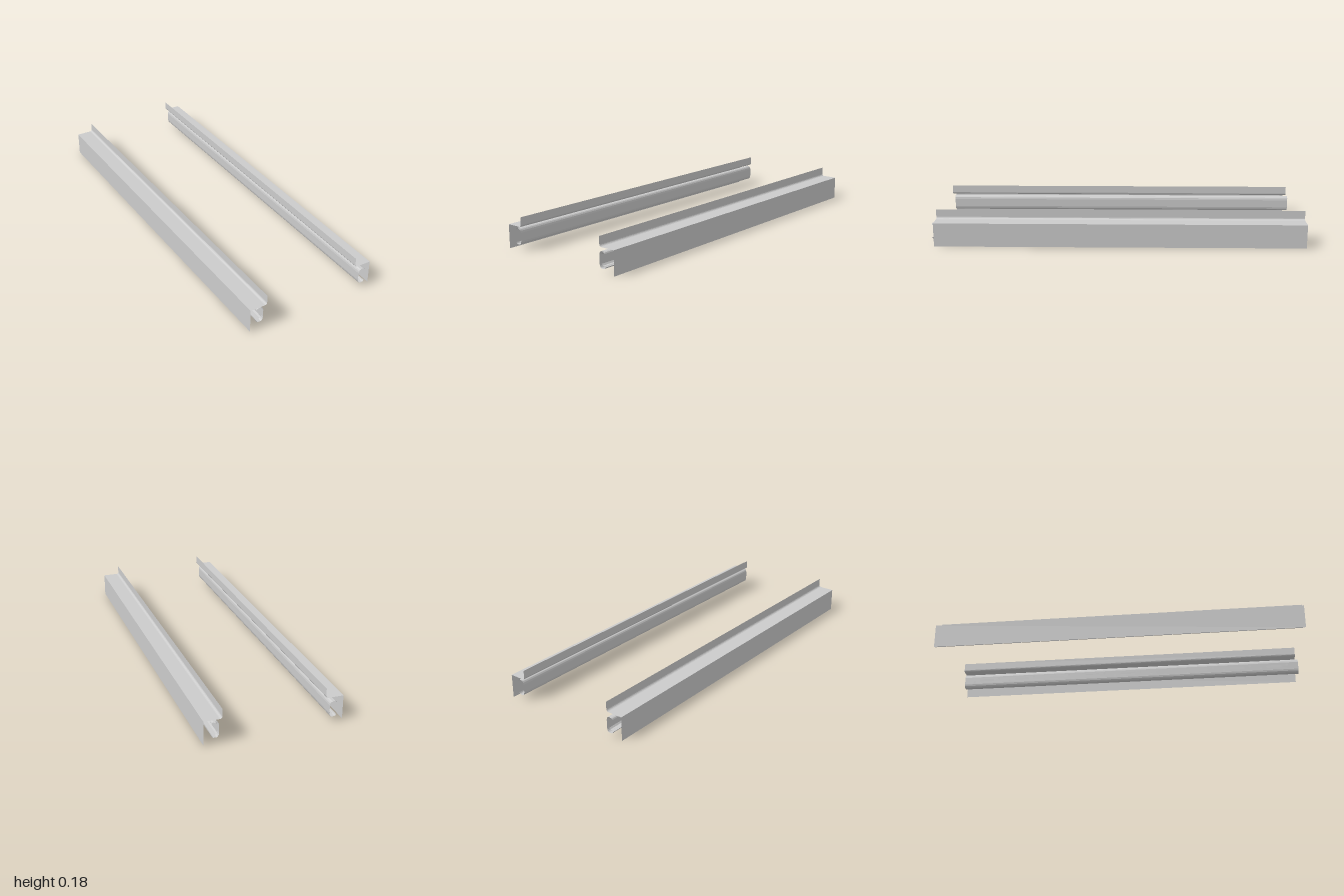
import * as THREE from 'three';

const metal = new THREE.MeshStandardMaterial({ color: 0xcccccc, side: THREE.DoubleSide, flatShading: true });

function named(geometry, name) {
  const mesh = new THREE.Mesh(geometry, metal);
  mesh.name = name;
  return mesh;
}

// Thin sheet: an open x/y profile swept along z
function sheet(profile, z0, z1, side, name) {
  const pos = [];
  for (let i = 0; i < profile.length - 1; i++) {
    const [ax, ay] = profile[i], [bx, by] = profile[i + 1];
    const a0 = [side * ax, ay, z0], a1 = [side * ax, ay, z1];
    const b0 = [side * bx, by, z0], b1 = [side * bx, by, z1];
    pos.push(...a0, ...b0, ...b1, ...a0, ...b1, ...a1);
  }
  const g = new THREE.BufferGeometry();
  g.setAttribute('position', new THREE.Float32BufferAttribute(pos, 3));
  g.computeVertexNormals();
  return named(g, name);
}

// Rounded slot outline in the z/y plane
function slot(z, y, length, height) {
  const r = height / 2, h = length / 2 - r, p = new THREE.Path();
  p.absarc(z + h, y, r, -Math.PI / 2, Math.PI / 2, false);
  p.absarc(z - h, y, r, Math.PI / 2, Math.PI * 1.5, false);
  p.closePath();
  return p;
}

// Flat web with punched slots and screw holes, standing in a plane of constant x
function slottedWeb(x, y0, y1, z0, z1, side) {
  const s = new THREE.Shape();
  s.moveTo(z0, y0);
  s.lineTo(z1, y0);
  s.lineTo(z1, y1);
  s.lineTo(z0, y1);
  s.closePath();
  const mid = (y0 + y1) / 2;
  for (let i = 0; i < 9; i++) {
    const z = -0.86 + i * 0.215;
    s.holes.push(slot(z, mid, 0.09, 0.016));
    s.holes.push(slot(z + 0.075, mid + 0.008, 0.014, 0.013));
    s.holes.push(slot(z - 0.075, mid - 0.008, 0.014, 0.013));
  }
  const g = new THREE.ShapeGeometry(s, 6);
  g.rotateY(-Math.PI / 2);
  g.translate(side * x, 0, 0);
  return named(g, 'slottedWeb');
}

function buildRail(side, bracketZ, slideZ) {
  const rail = new THREE.Group();
  rail.name = side > 0 ? 'leftRail' : 'rightRail';

  // Bent bracket: inner upright flange, rounded bend, top shelf, outer plate
  const bracket = [[0.27, 0.18], [0.27, 0.14]];
  for (let i = 1; i <= 4; i++) {
    const a = (i / 4) * Math.PI / 2;
    bracket.push([0.282 - 0.012 * Math.cos(a), 0.14 - 0.012 * Math.sin(a)]);
  }
  bracket.push([0.363, 0.128], [0.363, 0]);
  rail.add(sheet(bracket, ...bracketZ, side, 'bracket'));

  // Slide channel: curled races above and below the slotted web
  const upper = [[0.284, 0.094], [0.286, 0.104], [0.29, 0.111], [0.296, 0.115],
    [0.312, 0.115], [0.318, 0.112], [0.321, 0.106]];
  const lower = upper.map(([x, y]) => [x, 0.145 - y]);
  rail.add(sheet(upper, ...slideZ, side, 'upperRace'));
  rail.add(sheet(lower, ...slideZ, side, 'lowerRace'));
  rail.add(slottedWeb(0.284, 0.051, 0.094, ...slideZ, side));

  // Nested member behind the web
  const nested = [[0.308, 0.104], [0.296, 0.104], [0.29, 0.096], [0.29, 0.049], [0.296, 0.041], [0.308, 0.041]];
  rail.add(sheet(nested, slideZ[0] + 0.01, slideZ[1] - 0.01, side, 'nestedMember'));
  return rail;
}

export function createModel() {
  const model = new THREE.Group();
  model.name = 'drawerRails';
  model.add(buildRail(1, [-1, 0.985], [-0.995, 1]));
  model.add(buildRail(-1, [-0.98, 1], [-0.995, 0.99]));
  return model;
}
